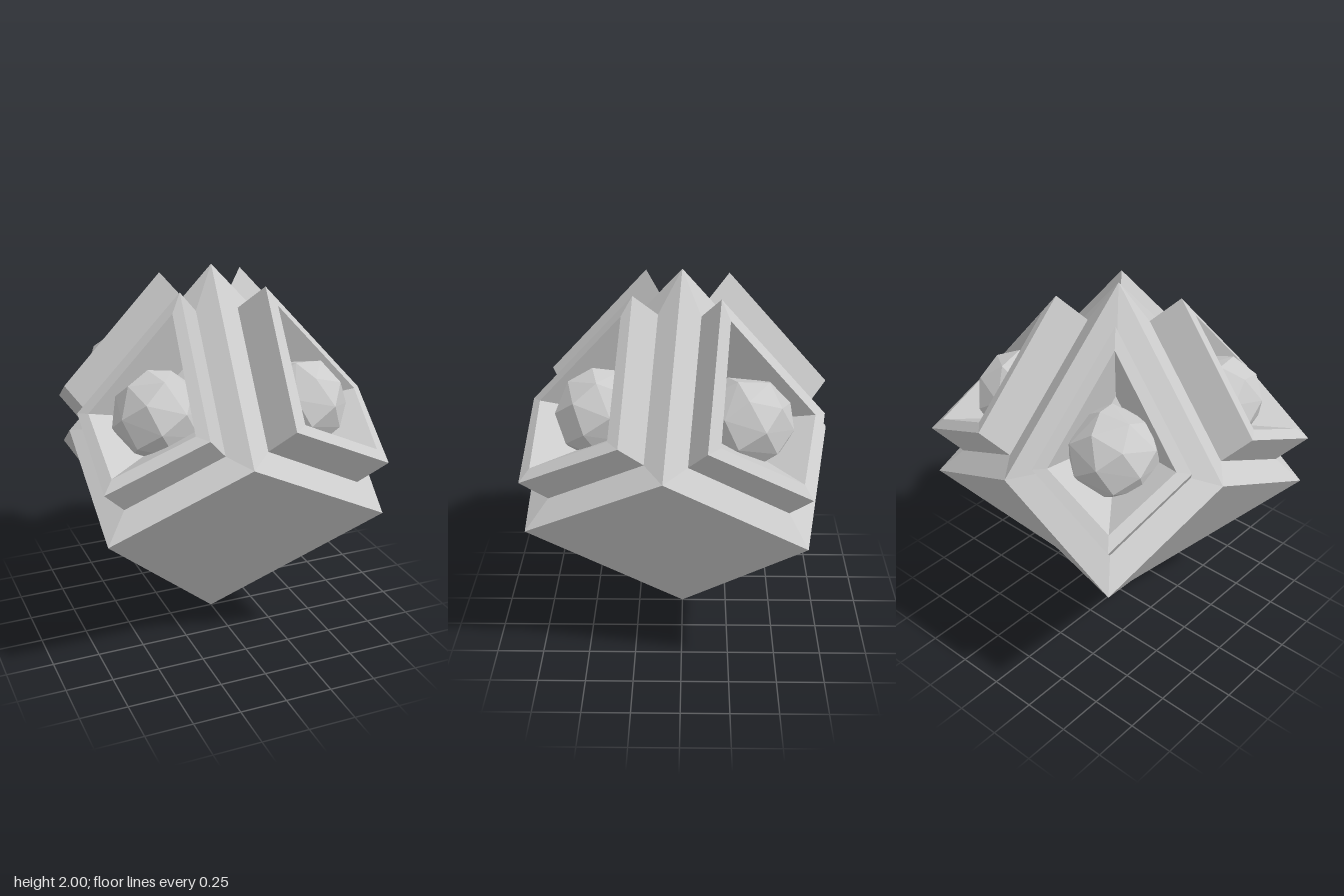
import * as THREE from 'three';
import { ConvexGeometry } from 'three/addons/geometries/ConvexGeometry.js';

// Loops of a top facet as [outward, half width, height] for its apex, side and tail corners
const LOOPS = {
  edge:   [[0, 0, 2], [0.541, 0.541, 1.17], [1, 0, 0.83]],
  border: [[0.156, 0, 1.79], [0.533, 0.38, 1.21], [0.854, 0, 0.97]],
  rim:    [[0.312, 0, 1.92], [0.683, 0.38, 1.34], [1.015, 0, 1.11]],
  lip:    [[0.384, 0, 1.83], [0.691, 0.306, 1.355], [0.949, 0, 1.17]],
};
const POCKET_TARGET = new THREE.Vector3(0.19, 1.21, 0); // point the pocket walls lean to
const GEM_CENTRE = new THREE.Vector3(0.52, 1.34, 0);
const GEM_RADIUS = 0.24;
const TWIST = -0.899; // heading of the first facet

const material = new THREE.MeshStandardMaterial({ color: 0xcccccc });
const gemMaterial = new THREE.MeshStandardMaterial({ color: 0xcccccc, flatShading: true });

// Mirror the side corner to get a full kite: apex, side, tail, side
function kite([apex, side, tail]) {
  const p = ([out, half, y], s = 1) => new THREE.Vector3(out, y, half * s);
  return [p(apex), p(side), p(tail), p(side, -1)];
}

// Facets with four corners, each fanned about its middle and given one normal
function quadGeometry(quads) {
  const positions = [], normals = [];
  for (const q of quads) {
    const middle = new THREE.Vector3();
    q.forEach((v) => middle.addScaledVector(v, 0.25));
    const normal = q[2].clone().sub(q[0]).cross(q[3].clone().sub(q[1])).normalize();
    q.forEach((v, i) => {
      for (const c of [v, q[(i + 1) % 4], middle]) {
        positions.push(c.x, c.y, c.z);
        normals.push(normal.x, normal.y, normal.z);
      }
    });
  }
  const g = new THREE.BufferGeometry();
  g.setAttribute('position', new THREE.Float32BufferAttribute(positions, 3));
  g.setAttribute('normal', new THREE.Float32BufferAttribute(normals, 3));
  return g;
}

// Strip of facets joining two kites
const band = (a, b) => a.map((v, i) => {
  const j = (i + 1) % 4;
  return [v, a[j], b[j], b[i]];
});

// Coarse cut stone: hull of points spread evenly on a sphere along a spiral
function stoneGeometry(radius, count) {
  const points = [];
  for (let i = 0; i < count; i++) {
    const polar = Math.acos(1 - 2 * (i + 0.5) / count);
    points.push(new THREE.Vector3().setFromSphericalCoords(radius, polar, i * 2.39996));
  }
  return new ConvexGeometry(points);
}

export function createModel() {
  const model = new THREE.Group();
  model.name = 'facetedCrystal';

  const edge = kite(LOOPS.edge), border = kite(LOOPS.border);
  const rim = kite(LOOPS.rim), lip = kite(LOOPS.lip);
  const floor = lip.map((v) => v.clone().lerp(POCKET_TARGET, 0.5));

  // Lower facet between two neighbouring tails
  const [, side, tail] = edge;
  const lower = [new THREE.Vector3(), tail, side, new THREE.Vector3(0, tail.y, tail.x)];

  const parts = {
    lowerFacet: quadGeometry([lower]),
    upperBorder: quadGeometry(band(edge, border)),
    raisedFrame: quadGeometry([...band(border, rim), ...band(rim, lip)]),
    pocket: quadGeometry([...band(lip, floor), floor]),
  };
  const gemGeometry = stoneGeometry(GEM_RADIUS, 28);

  // Four identical quarters around the upright axis
  for (let i = 0; i < 4; i++) {
    const quarter = new THREE.Group();
    quarter.name = 'quarter' + (i + 1);
    for (const [name, geometry] of Object.entries(parts)) {
      const mesh = new THREE.Mesh(geometry, material);
      mesh.name = name;
      quarter.add(mesh);
    }
    const gem = new THREE.Mesh(gemGeometry, gemMaterial);
    gem.name = 'gem';
    gem.position.copy(GEM_CENTRE);
    quarter.add(gem);
    quarter.rotation.y = TWIST + i * Math.PI / 2;
    model.add(quarter);
  }
  return model;
}
